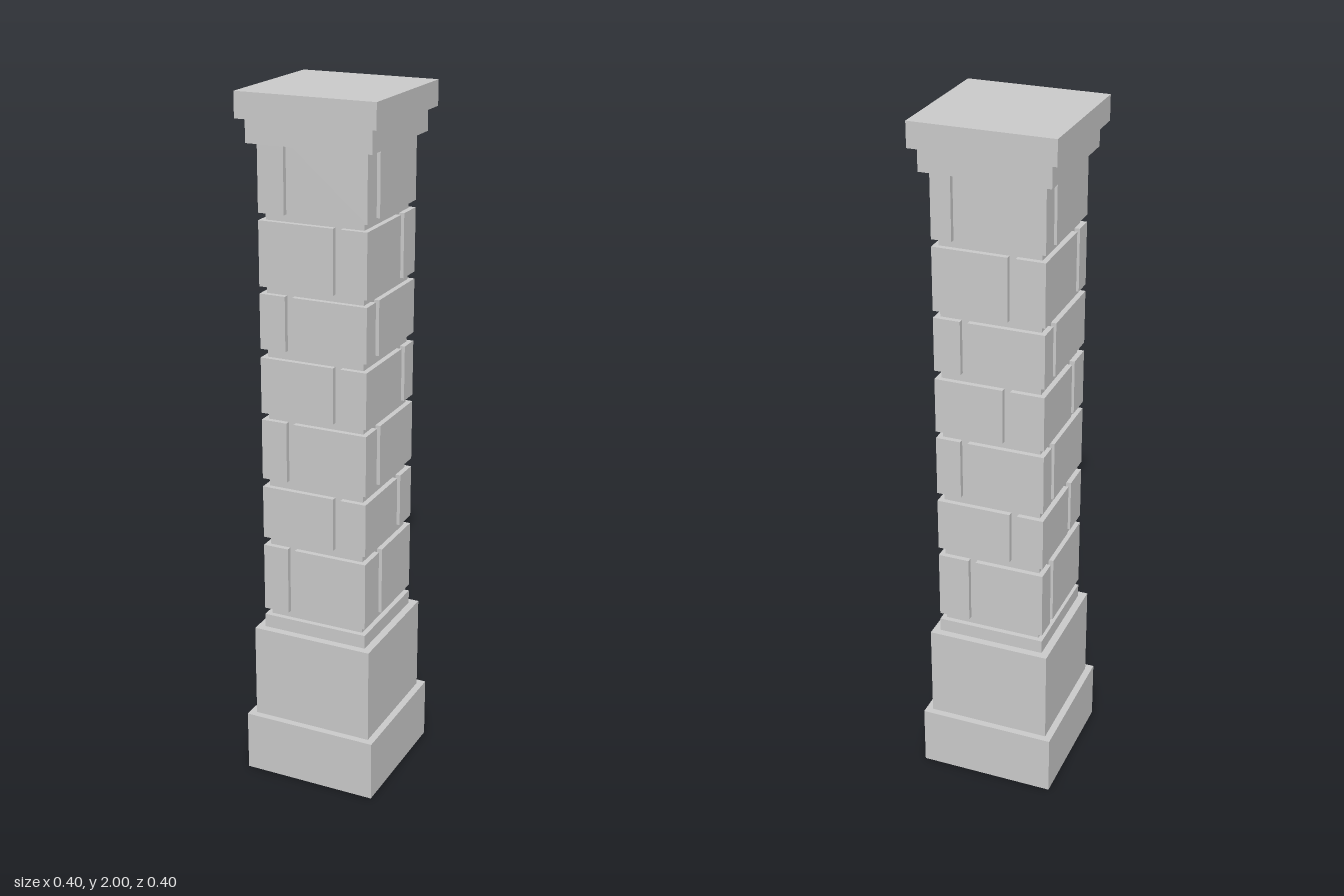
import * as THREE from 'three';

const material = new THREE.MeshStandardMaterial({ color: 0xcccccc, flatShading: true });
const HALF = 0.158;   // half width of the stone faces
const CORE = 0.143;   // half width of the recessed mortar core
const JOINT = 0.022;  // width of the vertical joints

// Square block between two heights
function block(name, half, y0, y1) {
  const mesh = new THREE.Mesh(new THREE.BoxGeometry(half * 2, y1 - y0, half * 2), material);
  mesh.position.y = (y0 + y1) / 2;
  mesh.name = name;
  return mesh;
}

// One course of stones: a square ring outline with a vertical joint cut into each side.
// joints: offset from the middle of the front, right, back and left faces, seen from outside
function stoneCourse(name, y0, y1, joints) {
  const points = [];
  joints.forEach((u, side) => {
    const a = u - JOINT / 2, b = u + JOINT / 2, inner = CORE - 0.01;
    const face = [[-HALF, -HALF], [a, -HALF], [a, -inner], [b, -inner], [b, -HALF]];
    for (const [x, y] of face) {
      points.push(new THREE.Vector2(x, y).rotateAround(new THREE.Vector2(), side * Math.PI / 2));
    }
  });
  const geometry = new THREE.ExtrudeGeometry(new THREE.Shape(points), { depth: y1 - y0, bevelEnabled: false });
  geometry.rotateX(-Math.PI / 2);
  const mesh = new THREE.Mesh(geometry, material);
  mesh.position.y = y0;
  mesh.name = name;
  return mesh;
}

export function createModel() {
  const pillar = new THREE.Group();
  pillar.name = 'stonePillar';

  // Stepped base
  pillar.add(block('baseSlab', 0.2, 0, 0.18));
  pillar.add(block('plinth', 0.18, 0.18, 0.46));
  pillar.add(block('plinthLedge', HALF, 0.46, 0.5));

  // Mortar core showing between the stones
  pillar.add(block('mortarCore', CORE, 0.5, 1.865));

  // Stone courses from bottom to top: bottom, top, joints on front, right, back, left
  const courses = [
    [0.52, 0.72, [-0.071, -0.054, -0.055, -0.08]],
    [0.745, 0.9, [0.071, 0.069, 0.07, 0.06]],
    [0.925, 1.1, [-0.071, -0.075, -0.075, -0.085]],
    [1.12, 1.28, [0.071, 0.087, 0.05, 0.07]],
    [1.305, 1.46, [-0.071, -0.09, -0.07, -0.085]],
    [1.48, 1.66, [0.071, 0.069, 0.065, 0.09]],
    [1.68, 1.865, [-0.071, -0.09, -0.09, -0.09]],
  ];
  courses.forEach(([y0, y1, joints], i) => pillar.add(stoneCourse(`stoneCourse${i + 1}`, y0, y1, joints)));

  // Stepped cap
  pillar.add(block('capMoulding', 0.18, 1.865, 1.93));
  pillar.add(block('capSlab', 0.2, 1.93, 2));

  return pillar;
}
